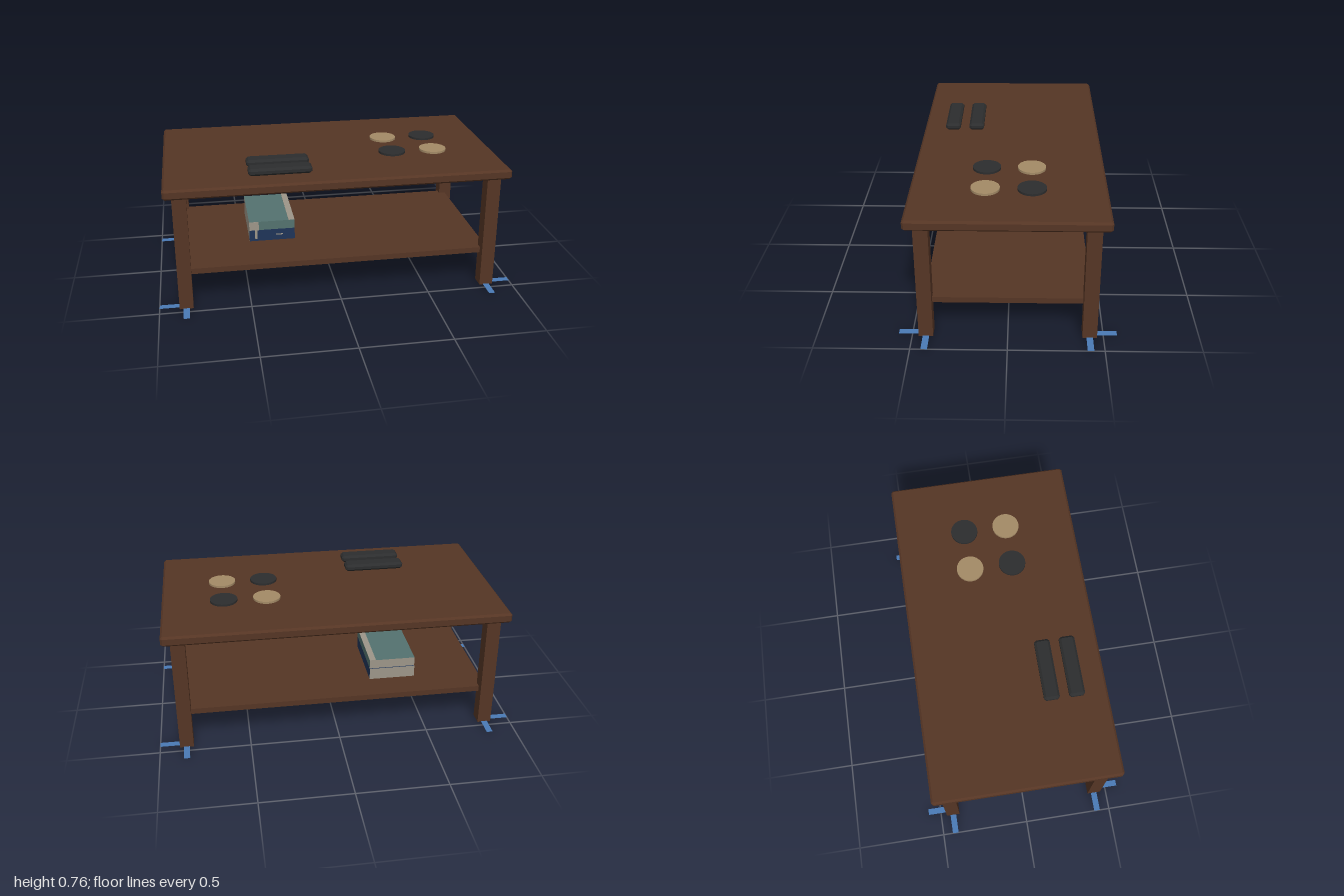
import * as THREE from 'three';

const mat = (name, color) => {
  const m = new THREE.MeshStandardMaterial({ color });
  m.name = name;
  return m;
};

// Box with all edges chamfered by b, resting on y = 0
function chamferBox(w, h, d, b) {
  const x = w / 2, y = d / 2;
  const shape = new THREE.Shape([
    [x - b, -y], [x, -y + b], [x, y - b], [x - b, y],
    [-x + b, y], [-x, y - b], [-x, -y + b], [-x + b, -y],
  ].map(([px, py]) => new THREE.Vector2(px, py)));
  const geo = new THREE.ExtrudeGeometry(shape, {
    depth: h - 2 * b, bevelEnabled: true, bevelSegments: 1,
    bevelSize: b, bevelThickness: b, bevelOffset: -b,
  });
  return geo.rotateX(-Math.PI / 2).translate(0, b, 0);
}

export function createModel() {
  const model = new THREE.Group();
  model.name = 'coffeeTable';

  const wood = mat('walnut', 0x553524);
  const black = mat('charcoal', 0x2c2d2e);
  const tan = mat('cork', 0xa38a66);
  const blue = mat('floorBlue', 0x4a7ab5);
  const navy = mat('navyCover', 0x1f3458);
  const teal = mat('tealCover', 0x53726f);
  const pages = mat('paper', 0x9c9588);

  const add = (name, geo, material, x, y, z, parent = model) => {
    const mesh = new THREE.Mesh(geo, material);
    mesh.name = name;
    mesh.position.set(x, y, z);
    parent.add(mesh);
    return mesh;
  };
  // Box given by its min and max corners
  const span = (name, material, x0, x1, y0, y1, z0, z1) =>
    add(name, new THREE.BoxGeometry(x1 - x0, y1 - y0, z1 - z0), material,
      (x0 + x1) / 2, (y0 + y1) / 2, (z0 + z1) / 2);

  // Table top and shelf
  const topY = 0.718;
  add('tableTop', chamferBox(1.874, 0.056, 1.024, 0.011), wood, 0, topY - 0.056, 0);
  span('shelf', wood, -0.854, 0.854, 0.19, 0.222, -0.428, 0.428);

  // Legs, each with two flat floor strips pointing outwards
  const legX = 0.854, legZ = 0.428;
  for (const sx of [-1, 1]) {
    for (const sz of [-1, 1]) {
      const leg = new THREE.Group();
      leg.name = `${sz > 0 ? 'front' : 'back'}${sx > 0 ? 'Left' : 'Right'}Leg`;
      model.add(leg);
      add('legPost', new THREE.BoxGeometry(0.076, 0.668, 0.076), wood,
        sx * legX, 0.334, sz * legZ, leg);
      add('sideFloorStrip', new THREE.BoxGeometry(0.108, 0.003, 0.034), blue,
        sx * 0.946, 0.0015, sz * legZ, leg);
      add('endFloorStrip', new THREE.BoxGeometry(0.034, 0.003, 0.108), blue,
        sx * legX, 0.0015, sz * 0.518, leg);
    }
  }

  // Two remote controls
  for (const z of [0.204, 0.342]) {
    add('remoteControl', chamferBox(0.344, 0.04, 0.086, 0.012), black, -0.311, topY, z);
  }

  // Four coasters in alternating colours
  for (const [i, x] of [0.357, 0.596].entries()) {
    for (const [j, z] of [-0.121, 0.121].entries()) {
      add('coaster', new THREE.CylinderGeometry(0.076, 0.076, 0.012, 32),
        i === j ? tan : black, x, topY + 0.006, z);
    }
  }

  // Stacked books: covers face front and left, pages face back and right
  const book = (cover) => [cover, pages, cover, cover, cover, pages];
  span('lowerBook', book(navy), -0.475, -0.212, 0.222, 0.29, -0.262, 0.138);
  span('upperBook', book(teal), -0.475, -0.212, 0.29, 0.342, -0.256, 0.138);

  // Pale cover bands and marks
  span('upperFrontBand', pages, -0.475, -0.42, 0.29, 0.342, 0.138, 0.14);
  span('upperTopBand', pages, -0.247, -0.212, 0.342, 0.344, -0.256, 0.138);
  span('lowerFrontMark', pages, -0.443, -0.429, 0.236, 0.288, 0.138, 0.14);
  span('lowerFrontDash', pages, -0.322, -0.282, 0.254, 0.26, 0.138, 0.14);

  return model;
}
